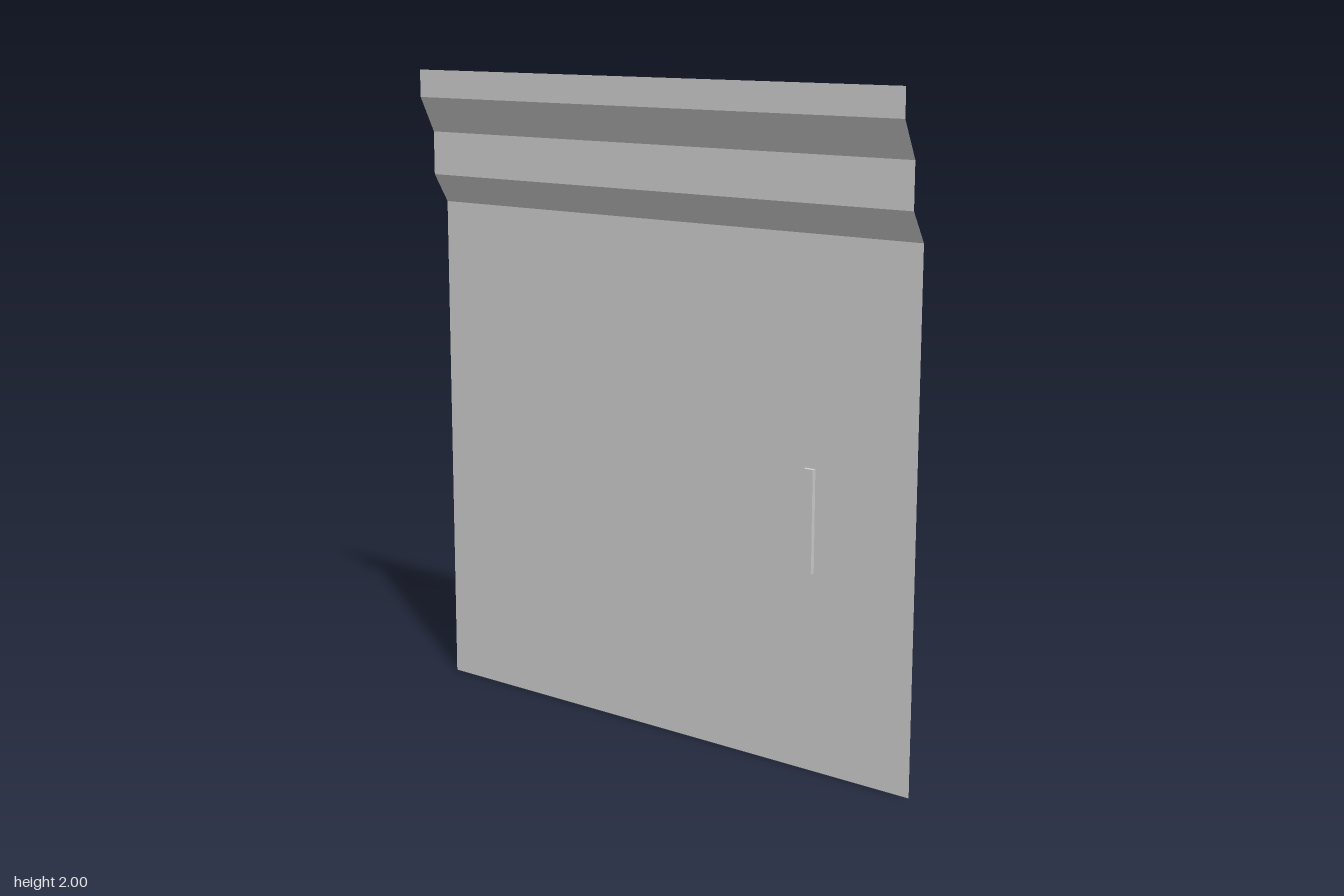
import * as THREE from 'three';

export function createModel() {
  const model = new THREE.Group();
  const grey = new THREE.MeshStandardMaterial({ color: 0xcccccc, side: THREE.DoubleSide });
  grey.name = 'light grey';

  // Side profile of the folded sheet as [y, z], from the bottom up
  const profile = [
    [0, -0.055], [1.58, -0.055], [1.67, 0],
    [1.805, 0], [1.915, 0.055], [2, 0.055],
  ];
  const names = ['mainPanel', 'lowerSlope', 'middleBand', 'upperSlope', 'topBand'];
  const halfWidth = 0.888;

  // One flat strip between each pair of profile points
  names.forEach((name, i) => {
    const [y0, z0] = profile[i];
    const [y1, z1] = profile[i + 1];
    const geometry = new THREE.PlaneGeometry(2 * halfWidth, Math.hypot(y1 - y0, z1 - z0));
    geometry.rotateX(Math.atan2(z1 - z0, y1 - y0));
    geometry.translate(0, (y0 + y1) / 2, (z0 + z1) / 2);
    const strip = new THREE.Mesh(geometry, grey);
    strip.name = name;
    model.add(strip);
  });

  // Slim upright handle just in front of the panel
  const handle = new THREE.Mesh(new THREE.BoxGeometry(0.032, 0.308, 0.014), grey);
  handle.name = 'handle';
  handle.position.set(0.542, 0.758, -0.038);
  model.add(handle);

  return model;
}
